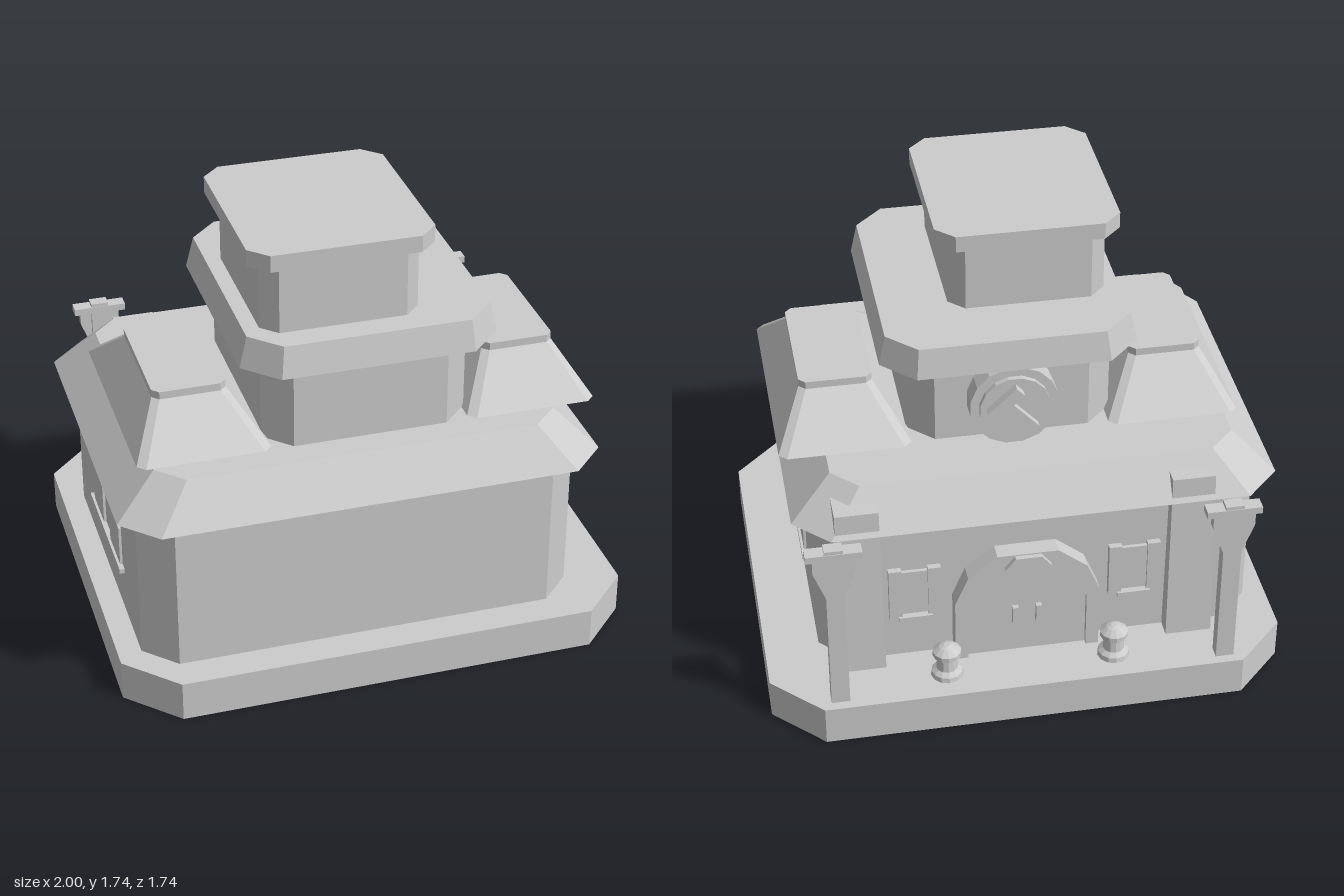
import * as THREE from 'three';

const stone = new THREE.MeshStandardMaterial({ color: 0xcccccc, flatShading: true, side: THREE.DoubleSide });
stone.name = 'pale grey';

function add(parent, name, geometry, x = 0, y = 0, z = 0) {
  const mesh = new THREE.Mesh(geometry, stone);
  mesh.name = name;
  mesh.position.set(x, y, z);
  parent.add(mesh);
  return mesh;
}

// Rectangle [x0, x1, z0, z1] with cut corners, counter-clockwise from above
function ring([x0, x1, z0, z1], c, y) {
  const flat = c === 0
    ? [[x1, z1], [x1, z0], [x0, z0], [x0, z1]]
    : [[x1, z1 - c], [x1, z0 + c], [x1 - c, z0], [x0 + c, z0],
      [x0, z0 + c], [x0, z1 - c], [x0 + c, z1], [x1 - c, z1]];
  return flat.map(([x, z]) => [x, y, z]);
}

// Tapered block between two cut-corner rectangles
function block(parent, name, y0, y1, low, high, cLow, cHigh = cLow, bottom = true) {
  const a = ring(low, cLow, y0), b = ring(high, cHigh, y1), n = a.length, v = [];
  for (let i = 0; i < n; i++) {
    const j = (i + 1) % n;
    v.push(...a[i], ...a[j], ...b[j], ...a[i], ...b[j], ...b[i]);
    if (i > 0 && i < n - 1) {
      v.push(...b[0], ...b[i], ...b[j]);
      if (bottom) v.push(...a[0], ...a[j], ...a[i]);
    }
  }
  const g = new THREE.BufferGeometry();
  g.setAttribute('position', new THREE.Float32BufferAttribute(v, 3));
  g.computeVertexNormals();
  return add(parent, name, g);
}

function box(parent, name, x, y, z, w, h, d) {
  return add(parent, name, new THREE.BoxGeometry(w, h, d), x, y, z);
}

// Flat outline standing out from a back wall at z, facing -z
function plate(parent, name, points, z, depth, hole) {
  const shape = new THREE.Shape(points.map(p => new THREE.Vector2(...p)));
  if (hole) shape.holes.push(new THREE.Path(hole.map(p => new THREE.Vector2(...p))));
  const mesh = add(parent, name, new THREE.ExtrudeGeometry(shape, { depth, bevelEnabled: false }), 0, 0, z);
  mesh.rotation.y = Math.PI;
  return mesh;
}

function arch(w, y0, spring, mid, top) {
  const half = [[w, y0], [w, spring], [w * 0.82, mid], [w * 0.42, top]];
  return [...half, ...half.map(([x, y]) => [-x, y]).reverse()];
}

export function createModel() {
  const model = new THREE.Group();
  model.name = 'hall';

  // Open-bottomed plinth and the main storey
  block(model, 'plinth', 0, 0.16, [-1, 1, -0.87, 0.87], [-1, 1, -0.87, 0.87], 0.19, 0.19, false);
  const body = [-0.91, 0.79, -0.6, 0.745];
  block(model, 'mainWalls', 0.16, 0.8, body, body, 0.12);
  block(model, 'lowerRoof', 0.79, 0.945, [-0.99, 0.87, -0.66, 0.83], [-0.83, 0.71, -0.54, 0.71], 0.135, 0.1);

  // Upper storeys
  const middle = [-0.4, 0.39, -0.3, 0.6];
  block(model, 'middleTower', 0.945, 1.29, middle, middle, 0.1);
  block(model, 'middleRoof', 1.285, 1.405, [-0.49, 0.49, -0.39, 0.685], [-0.46, 0.465, -0.37, 0.66], 0.125, 0.11);
  const upper = [-0.4, 0.2, -0.125, 0.56];
  block(model, 'upperTower', 1.405, 1.68, upper, upper, 0.06);
  const cap = [-0.45, 0.25, -0.16, 0.6];
  block(model, 'topRoof', 1.675, 1.74, cap, cap, 0.07);

  for (const s of [-1, 1]) {
    const span = (a, b, z0, z1) => [Math.min(s * a, s * b), Math.max(s * a, s * b), z0, z1];

    // Side roofs with thin caps
    block(model, 'sideRoof', 0.945, 1.11, span(0.38, 0.885, -0.33, 0.605), span(0.5, 0.78, -0.12, 0.405), 0.03, 0.025);
    const lid = span(0.5, 0.78, -0.12, 0.405);
    block(model, 'sideRoofCap', 1.11, 1.14, lid, lid, 0.025);

    // Side windows on a shared sill
    const wall = s > 0 ? 0.79 : -0.91;
    for (const z of [0.24, -0.063]) box(model, 'sideWindow', wall, 0.4425, z, 0.02, 0.165, 0.183);
    box(model, 'sideSill', wall, 0.35, 0.0875, 0.04, 0.02, 0.555);

    // Leaning buttresses through the eave
    block(model, 'buttress', 0.16, 0.89, span(0.55, 0.73, -0.67, -0.45), span(0.555, 0.72, -0.643, -0.5), 0);

    // Shuttered back windows
    const window = new THREE.Group();
    window.name = 'backWindow';
    window.position.set(s * 0.425, 0.47, -0.6);
    model.add(window);
    box(window, 'pane', 0, 0, 0, 0.12, 0.2, 0.03);
    for (const t of [-1, 1]) box(window, 'shutter', t * 0.075, 0, -0.005, 0.05, 0.23, 0.04);
    box(window, 'sill', 0, -0.115, -0.01, 0.13, 0.02, 0.05);

    // Braced posts
    const post = new THREE.Group();
    post.name = 'post';
    post.position.set(s * 0.745, 0, -0.808);
    model.add(post);
    box(post, 'shaft', 0, 0.5225, 0, 0.07, 0.725, 0.05);
    box(post, 'crossbar', 0, 0.857, 0, 0.21, 0.028, 0.055);
    for (const t of [-1, 1]) {
      const brace = new THREE.Shape([[0.035, 0.67], [0.08, 0.79], [0.08, 0.845], [0.035, 0.845]]
        .map(([x, y]) => new THREE.Vector2(t * x, y)));
      add(post, 'brace', new THREE.ExtrudeGeometry(brace, { depth: 0.034, bevelEnabled: false }), 0, 0, -0.025);
    }

    // Lamps beside the door
    const lamp = [[0, 0.16], [0.063, 0.16], [0.06, 0.18], [0.042, 0.195], [0.037, 0.25], [0.055, 0.255],
      [0.055, 0.275], [0.03, 0.295], [0.012, 0.303], [0, 0.303]].map(p => new THREE.Vector2(...p));
    add(model, 'lamp', new THREE.LatheGeometry(lamp, 12), s * 0.325, 0, -0.74);

    box(model, 'doorHandle', s * 0.045, 0.34, -0.655, 0.022, 0.08, 0.03);
  }

  // Arched door, frame and keystone
  const inner = arch(0.23, 0.16, 0.4, 0.5, 0.58);
  plate(model, 'doorFrame', arch(0.28, 0.16, 0.43, 0.55, 0.64), -0.59, 0.08, inner);
  plate(model, 'door', inner, -0.59, 0.06);
  plate(model, 'keystone', [[-0.05, 0.53], [0, 0.56], [0.05, 0.53], [0.09, 0.585], [0.05, 0.635], [-0.05, 0.635], [-0.09, 0.585]], -0.59, 0.1);

  // Round plaque with a hammer relief
  const plaque = new THREE.Group();
  plaque.name = 'plaque';
  plaque.position.set(0, 1.12, -0.29);
  model.add(plaque);
  const circle = r => Array.from({ length: 16 }, (_, i) => {
    const t = (i + 0.5) * Math.PI / 8;
    return [r * Math.cos(t), r * Math.sin(t)];
  });
  plate(plaque, 'plaqueRim', circle(0.17), 0, 0.09, circle(0.135));
  plate(plaque, 'plaqueDisc', circle(0.135), 0, 0.11);
  const hammer = new THREE.Group();
  hammer.name = 'hammerRelief';
  hammer.position.z = -0.12;
  hammer.rotation.z = -0.75;
  plaque.add(hammer);
  box(hammer, 'hammerHandle', 0, -0.025, 0, 0.032, 0.17, 0.04);
  box(hammer, 'hammerHead', 0, 0.06, -0.003, 0.15, 0.045, 0.045);

  return model;
}
